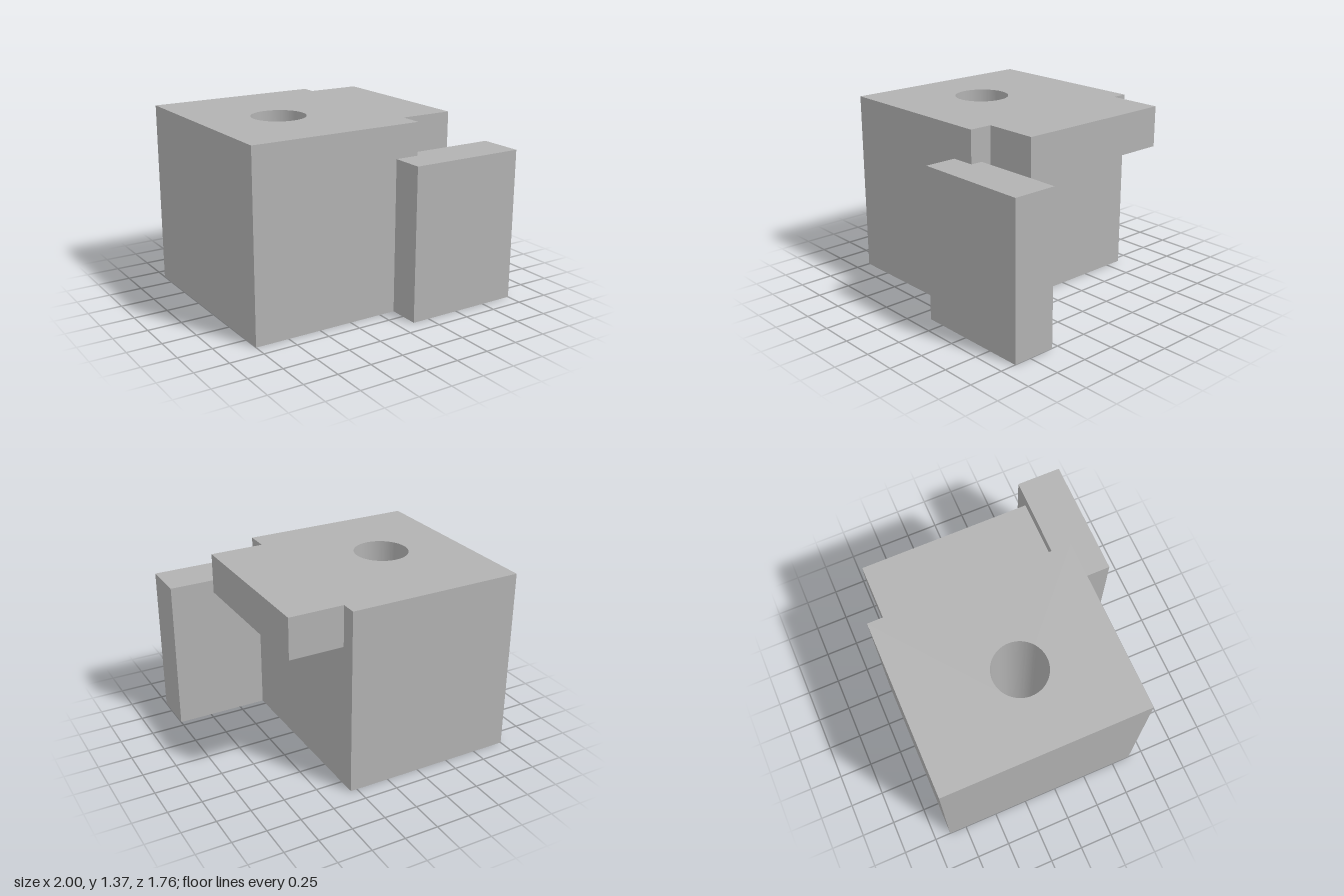
import * as THREE from 'three';
import { toCreasedNormals } from 'three/addons/utils/BufferGeometryUtils.js';

// Upright prism from a plan outline given as [x, z] corners
function prism(name, plan, y0, y1, material, hole) {
  const shape = new THREE.Shape(plan.map(([x, z]) => new THREE.Vector2(x, -z)));
  if (hole) {
    const path = new THREE.Path();
    path.absarc(hole.x, -hole.z, hole.r, 0, Math.PI * 2, true);
    shape.holes.push(path);
  }
  const extruded = new THREE.ExtrudeGeometry(shape, { depth: y1 - y0, bevelEnabled: false, curveSegments: 64 });
  extruded.rotateX(-Math.PI / 2).translate(0, y0, 0);
  const mesh = new THREE.Mesh(toCreasedNormals(extruded, Math.PI / 6), material);
  mesh.name = name;
  return mesh;
}

const rect = (x0, x1, z0, z1) => [[x0, z1], [x1, z1], [x1, z0], [x0, z0]];

export function createModel() {
  const grey = new THREE.MeshStandardMaterial({ color: 0xb2b2b2 });
  grey.name = 'plain grey';

  const model = new THREE.Group();
  model.name = 'drilledBlock';

  // Main block with a vertical through hole
  model.add(prism('mainBlock', rect(-1, 0.3, -0.88, 0.64), 0, 1.37, grey, { x: -0.41, z: -0.06, r: 0.2 }));

  // Ledge overhanging the side, flush with the top
  model.add(prism('sideLedge', rect(0.3, 0.7, -0.765, 0.47), 1.07, 1.37, grey));

  // Upright slab wrapped around the front corner of the block
  const slab = [[0.12, 0.88], [1, 0.88], [1, 0.55], [0.3, 0.55], [0.3, 0.64], [0.12, 0.64]];
  model.add(prism('cornerSlab', slab, 0, 1.13, grey));

  return model;
}
